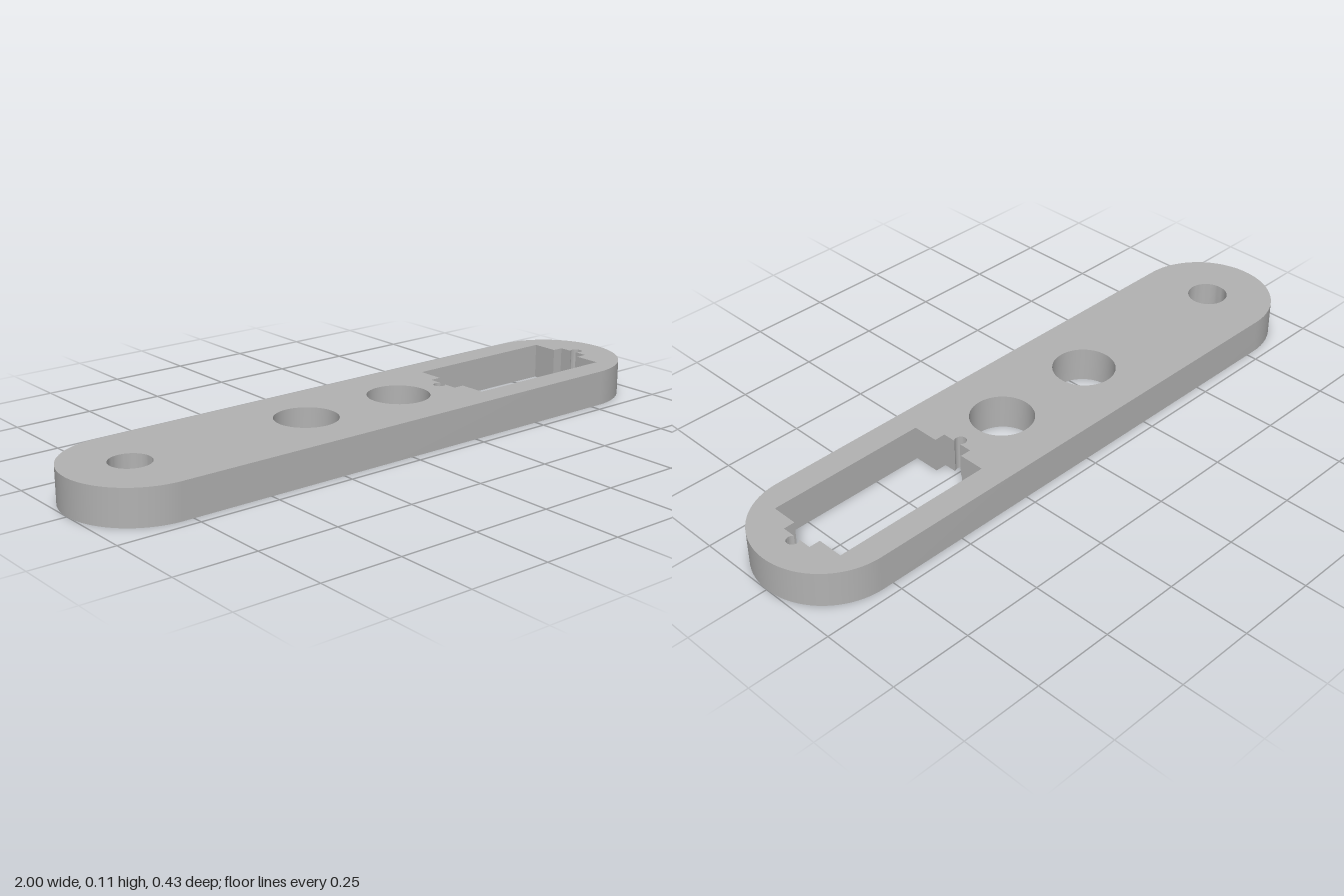
import * as THREE from 'three';
import { mergeGeometries, toCreasedNormals } from 'three/addons/utils/BufferGeometryUtils.js';

const HEIGHT = 0.11, POCKET = 0.035, SEGMENTS = 24;

// All outlines run counter-clockwise in plan
function circle(x, r) {
  return new THREE.Shape().absarc(x, 0, r, 0, Math.PI * 2, false);
}

function barOutline() {
  const r = 0.217, c = 1 - r, s = new THREE.Shape();
  s.absarc(c, 0, r, -Math.PI / 2, Math.PI / 2, false);
  s.absarc(-c, 0, r, Math.PI / 2, Math.PI * 1.5, false);
  s.closePath();
  return s;
}

// Rectangular window with a stepped notch and a keyhole at each end
function windowOutline() {
  const cx = 0.599, w = 0.254, d = 0.136, step = 0.289, sd = 0.053;
  const kc = 0.303, kr = 0.018, a = Math.PI - Math.acos((kc - step) / kr);
  const half = [[w, -d], [w, -sd], [step, -sd]];
  for (let i = 0; i <= 12; i++) {
    const t = -a + (2 * a * i) / 12;
    half.push([kc + kr * Math.cos(t), kr * Math.sin(t)]);
  }
  half.push([step, sd], [w, sd], [w, d]);
  const all = [...half, ...half.map(([x, y]) => [-x, -y])];
  return new THREE.Shape(all.map(([x, y]) => new THREE.Vector2(cx + x, y)));
}

// Hub with a long and a short rounded arm, sunk into the underside
function pocketOutline(hub) {
  const w = 0.045, r = 0.08, t = Math.asin(w / r), P = Math.PI, s = new THREE.Shape();
  s.absarc(-0.475, 0, w, -P / 2, P / 2, false);
  s.absarc(hub, 0, r, t, P - t, false);
  s.absarc(-0.89, 0, w, P / 2, P * 1.5, false);
  s.absarc(hub, 0, r, P + t, 2 * P - t, false);
  s.closePath();
  return s;
}

// Vertical wall along an outline; inward walls line a hole
function wall(shape, y0, y1, inward) {
  let pts = shape.getPoints(SEGMENTS);
  pts = pts.filter((p, i) => p.distanceTo(pts[(i + 1) % pts.length]) > 1e-5);
  if (inward) pts.reverse();
  const v = [];
  pts.forEach((p, i) => {
    const q = pts[(i + 1) % pts.length];
    const [a, b, c, d] = [[p.x, y0, -p.y], [q.x, y0, -q.y], [q.x, y1, -q.y], [p.x, y1, -p.y]];
    v.push(...a, ...b, ...c, ...a, ...c, ...d);
  });
  const g = new THREE.BufferGeometry();
  g.setAttribute('position', new THREE.Float32BufferAttribute(v, 3));
  return toCreasedNormals(g, 0.6);
}

// Horizontal face with holes, facing up or down
function face(outline, holes, y, up) {
  const s = outline.clone();
  s.holes = holes;
  const g = new THREE.ShapeGeometry(s, SEGMENTS);
  g.rotateX(up ? -Math.PI / 2 : Math.PI / 2);
  g.translate(0, y, 0);
  return g;
}

export function createModel() {
  const model = new THREE.Group();
  model.name = 'mountingBar';
  const grey = new THREE.MeshStandardMaterial({ color: 0xb2b2b2 });
  grey.name = 'grey';
  const add = (name, geometry) => {
    const m = new THREE.Mesh(geometry, grey);
    m.name = name;
    model.add(m);
  };

  const hub = -0.804;
  const bar = barOutline(), pocket = pocketOutline(hub), pivot = circle(hub, 0.062);
  const through = {
    middleHole: circle(-0.217, 0.096),
    innerHole: circle(0.131, 0.096),
    windowCutout: windowOutline(),
  };
  const cuts = Object.values(through);

  // Bar faces and rim
  add('topFace', face(bar, [...cuts, pivot], HEIGHT, true));
  add('bottomFace', face(bar, [...cuts, pocket], 0, false));
  add('outerRim', wall(bar, 0, HEIGHT, false));

  // Linings of the through cuts
  for (const [name, s] of Object.entries(through)) add(name, wall(s, 0, HEIGHT, true));

  // Arm pocket underneath with the pivot hole above it
  add('pivotHole', wall(pivot, POCKET, HEIGHT, true));
  const floor = face(pocket, [pivot], POCKET, false).toNonIndexed();
  floor.deleteAttribute('uv');
  add('armPocket', mergeGeometries([floor, wall(pocket, 0, POCKET, true)]));

  return model;
}
